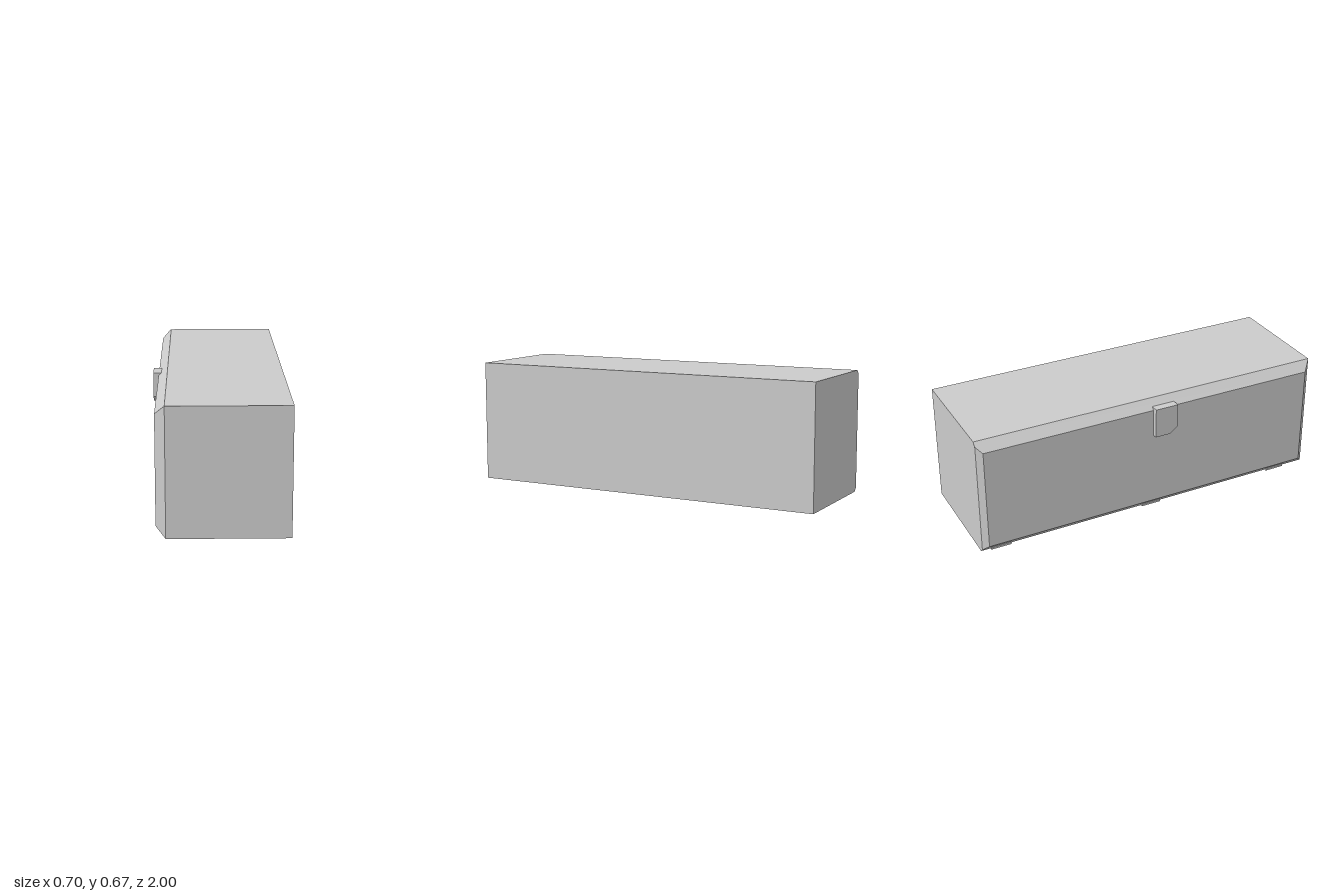
import * as THREE from 'three';
import { ConvexGeometry } from 'three/addons/geometries/ConvexGeometry.js';

const grey = new THREE.MeshStandardMaterial({ color: 0xcccccc, flatShading: true });
const bottom = 0.006, top = 0.672, doorBack = -0.27;

export function createModel() {
  const model = new THREE.Group();
  const add = (name, geometry, x = 0, y = 0, z = 0) => {
    const mesh = new THREE.Mesh(geometry, grey);
    mesh.name = name;
    mesh.position.set(x, y, z);
    model.add(mesh);
  };

  // Long rectangular cabinet
  const width = 0.347 - doorBack;
  add('cabinet', new THREE.BoxGeometry(width, top - bottom, 2),
    doorBack + width / 2, (top + bottom) / 2, 0);

  // Bevelled door: [x, inset in y, low z, high z], from the cabinet outwards
  const sections = [
    [doorBack, 0, -1, 1],
    [-0.29, 0.02, -1, 0.98],
    [-0.32, 0.05, -0.97, 0.95],
  ];
  const points = [];
  for (const [x, inset, z0, z1] of sections)
    for (const y of [bottom + inset, top - inset])
      for (const z of [z0, z1]) points.push(new THREE.Vector3(x, y, z));
  add('door', new ConvexGeometry(points));

  // Latch plate with one clipped lower corner, drawn in z and y
  const outline = [[-0.01, 0.472], [0.075, 0.472], [0.12, 0.505], [0.12, 0.638], [-0.01, 0.638]];
  const latchShape = new THREE.Shape(outline.map(([z, y]) => new THREE.Vector2(z, y)));
  const latch = new THREE.ExtrudeGeometry(latchShape, { depth: 0.044, bevelEnabled: false });
  latch.rotateY(-Math.PI / 2);
  add('latch', latch, -0.305);

  // Three six-sided hinge barrels along the lower door edge
  for (const z of [-0.895, -0.005, 0.805]) {
    const hinge = new THREE.CylinderGeometry(0.011, 0.011, 0.11, 6);
    hinge.rotateX(Math.PI / 2);
    add('hinge', hinge, -0.286, 0.021, z);
  }
  return model;
}
